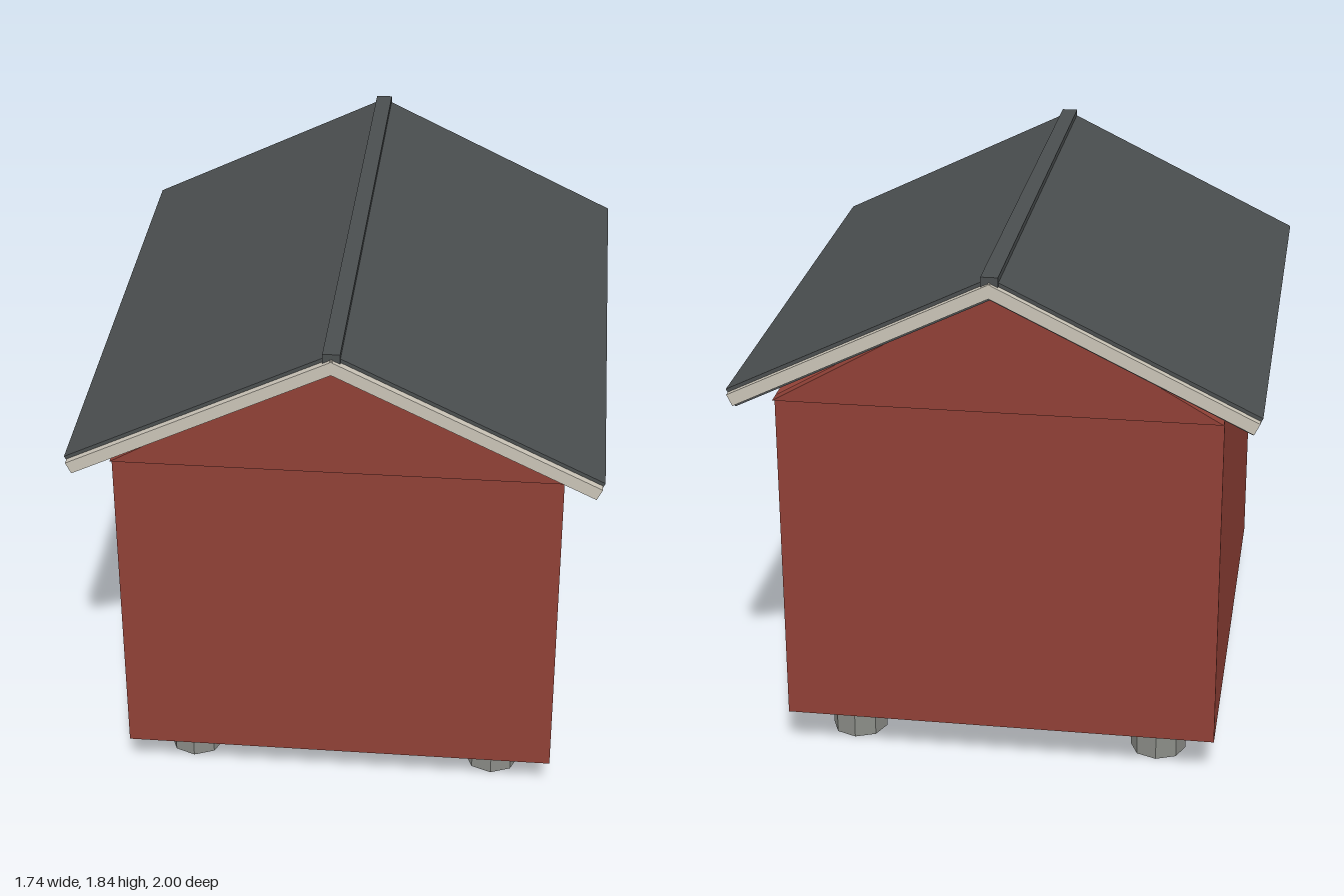
import * as THREE from 'three';

export function createModel() {
  const model = new THREE.Group();
  const mat = (color) => new THREE.MeshStandardMaterial({ color, flatShading: true });
  const red = mat(0x8f4036), slate = mat(0x4a4e4f), cream = mat(0xc9c3b6), stone = mat(0x8a8c87);

  function add(name, geometry, material, x = 0, y = 0, z = 0, parent = model) {
    const mesh = new THREE.Mesh(geometry, material);
    mesh.name = name;
    mesh.position.set(x, y, z);
    parent.add(mesh);
    return mesh;
  }

  // Body on four short foundation posts
  add('body', new THREE.BoxGeometry(1.485, 1.19, 1.7), red, 0, 0.745, 0);
  for (const x of [-0.535, 0.535])
    for (const z of [-0.64, 0.64])
      add('foundationPost', new THREE.CylinderGeometry(0.097, 0.097, 0.16, 8), stone, x, 0.08, z);

  // Thin triangular gables, standing slightly proud of the end walls
  const triangle = new THREE.Shape([
    new THREE.Vector2(-0.742, 1.34),
    new THREE.Vector2(0.742, 1.34),
    new THREE.Vector2(0, 1.765),
  ]);
  const gable = new THREE.ExtrudeGeometry(triangle, { depth: 0.05, bevelEnabled: false });
  add('frontGable', gable, red, 0, 0, 0.835);
  add('backGable', gable, red, 0, 0, -0.885);

  // Roof halves: each group starts at the ridge, its +x axis running down the slope
  const pitch = Math.atan(0.488), length = 0.968, thickness = 0.066;
  for (const side of [1, -1]) {
    const half = new THREE.Group();
    half.name = side > 0 ? 'leftRoof' : 'rightRoof';
    half.position.y = 1.834;
    half.rotation.set(0, side > 0 ? 0 : Math.PI, -pitch, 'YXZ');
    model.add(half);
    add('roofPanel', new THREE.BoxGeometry(length, thickness, 1.95), slate, length / 2, -thickness / 2, 0, half);
    // Pale barge boards on the front and back edges
    for (const z of [-0.975, 0.975])
      add('bargeBoard', new THREE.BoxGeometry(length - 0.005, 0.042, 0.05), cream, length / 2, -thickness / 2, z, half);
  }

  // Ridge cap
  add('ridgeCap', new THREE.BoxGeometry(0.056, 0.034, 1.97), slate, 0, 1.823, 0);
  return model;
}
